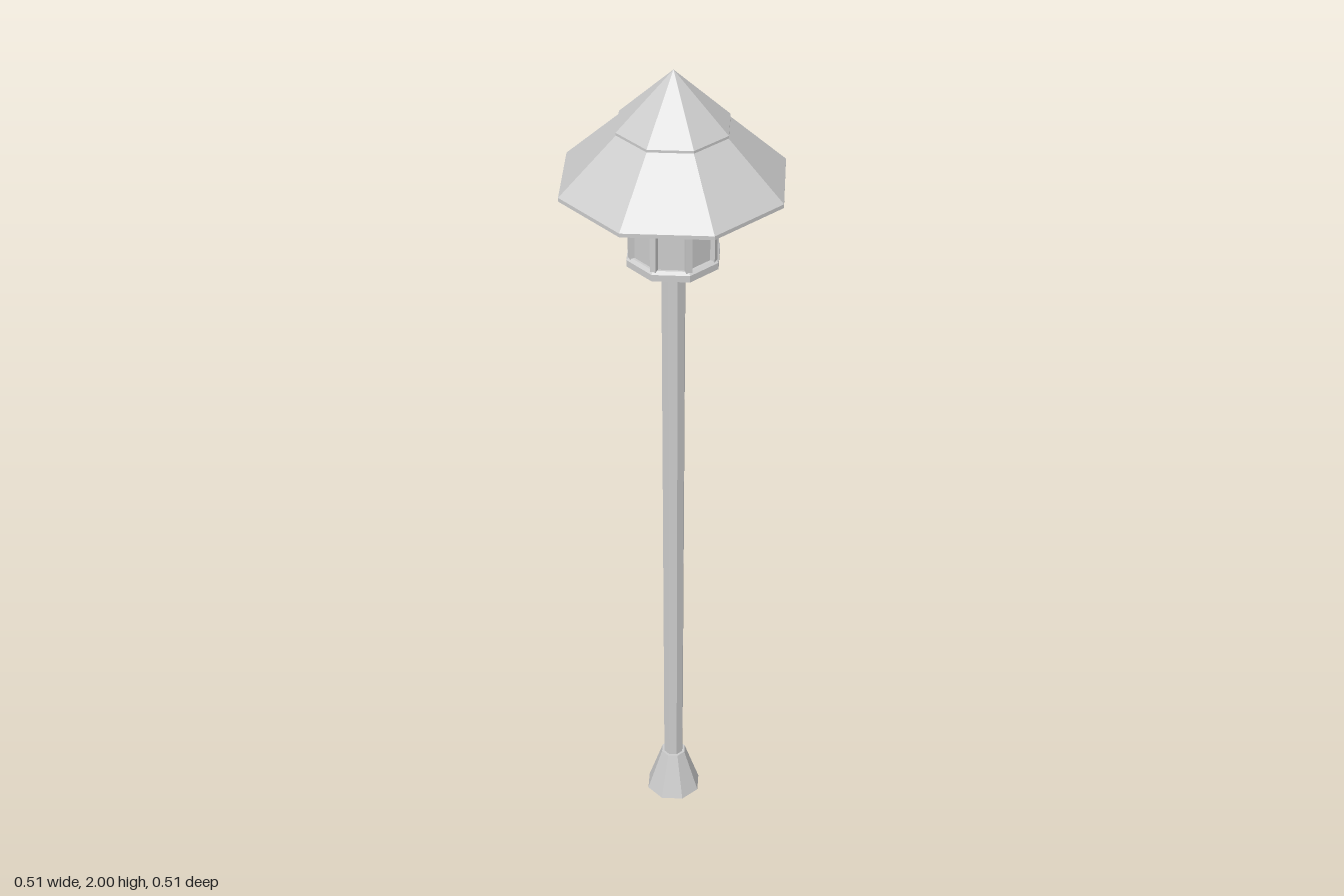
import * as THREE from 'three';

const SIDES = 8;
const material = new THREE.MeshStandardMaterial({ color: 0xcccccc, flatShading: true });

function addMesh(parent, name, geometry) {
  const mesh = new THREE.Mesh(geometry, material);
  mesh.name = name;
  parent.add(mesh);
  return mesh;
}

// Octagonal solid from a [radius, height] profile running bottom to top
function turned(parent, name, profile) {
  const points = profile.map(([r, y]) => new THREE.Vector2(r, y));
  return addMesh(parent, name, new THREE.LatheGeometry(points, SIDES));
}

export function createModel() {
  const model = new THREE.Group();
  model.name = 'gardenLamp';

  // Flared foot and slim pole
  turned(model, 'foot', [[0, 0], [0.067, 0], [0.03, 0.113], [0, 0.113]]);
  turned(model, 'pole', [[0.024, 0.1], [0.028, 1.54]]);

  // Lantern: tray, glass and corner posts
  const lantern = new THREE.Group();
  lantern.name = 'lantern';
  model.add(lantern);
  turned(lantern, 'tray', [
    [0, 1.527], [0.035, 1.527], [0.108, 1.546], [0.108, 1.562], [0.1, 1.568], [0, 1.568],
  ]);
  turned(lantern, 'glass', [[0.094, 1.56], [0.094, 1.85]]);
  for (let i = 0; i < SIDES; i++) {
    const angle = (i / SIDES) * Math.PI * 2;
    const post = addMesh(lantern, 'cornerPost', new THREE.BoxGeometry(0.014, 0.28, 0.014));
    post.position.set(Math.sin(angle) * 0.095, 1.705, Math.cos(angle) * 0.095);
    post.rotation.y = angle;
  }

  // Hollow two-tier shade
  const shade = new THREE.Group();
  shade.name = 'shade';
  model.add(shade);
  turned(shade, 'lowerShade', [
    [0, 1.855], [0.125, 1.855], [0.245, 1.735], [0.257, 1.735], [0.257, 1.744], [0.124, 1.872], [0, 1.872],
  ]);
  turned(shade, 'upperShade', [[0, 1.869], [0.128, 1.869], [0.128, 1.875], [0, 2]]);

  return model;
}
